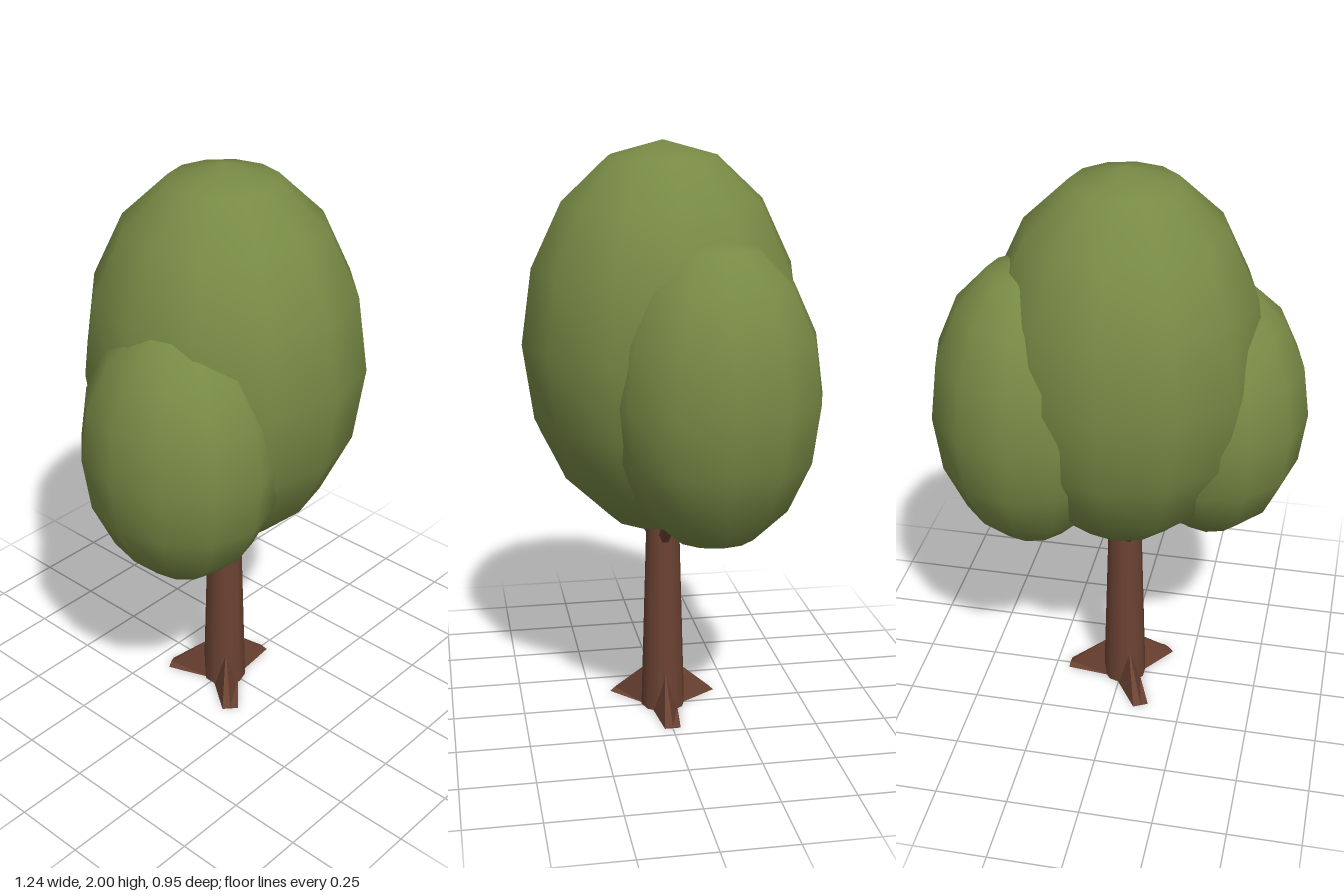
import * as THREE from 'three';

export function createModel() {
  const tree = new THREE.Group();
  tree.name = 'tree';
  const leaf = new THREE.MeshStandardMaterial({ color: 0x788a45 });
  leaf.name = 'leaf green';
  const bark = new THREE.MeshStandardMaterial({ color: 0x6b4232 });
  bark.name = 'bark brown';
  const cx = -0.01; // trunk axis

  const add = (name, geometry, material) => {
    const mesh = new THREE.Mesh(geometry, material);
    mesh.name = name;
    tree.add(mesh);
    return mesh;
  };

  // Foliage: three overlapping egg-shaped clumps [name, centre, radii]
  const clumps = [
    ['mainFoliage', [cx, 1.335, 0], [0.468, 0.665, 0.475]],
    ['leftFoliage', [0.285, 1.208, -0.122], [0.33, 0.515, 0.355]],
    ['rightFoliage', [-0.305, 1.14, 0.08], [0.315, 0.465, 0.345]],
  ];
  for (const [name, centre, radii] of clumps) {
    const geometry = new THREE.SphereGeometry(1, 12, 8);
    geometry.scale(...radii);
    add(name, geometry, leaf).position.set(...centre);
  }

  // Tapered trunk, running up into the foliage
  const trunk = add('trunk', new THREE.CylinderGeometry(0.055, 0.078, 0.8, 10), bark);
  trunk.position.set(cx, 0.4, 0);

  // Root: triangular section by the trunk, shrinking to a low narrow tip
  function rootGeometry() {
    const section = (x, halfWidth, height) => [x, 0, halfWidth, x, height, 0, x, 0, -halfWidth];
    const geometry = new THREE.BufferGeometry();
    const corners = [...section(0.05, 0.045, 0.15), ...section(0.21, 0.028, 0.006)];
    geometry.setAttribute('position', new THREE.Float32BufferAttribute(corners, 3));
    const index = [3, 5, 4, 0, 1, 2]; // tip and inner end
    for (let i = 0; i < 3; i++) {
      const j = (i + 1) % 3;
      index.push(i, i + 3, j, j, i + 3, j + 3);
    }
    geometry.setIndex(index);
    const flat = geometry.toNonIndexed();
    flat.computeVertexNormals();
    return flat;
  }

  // Three roots, with a short branch above each
  [0, 132, 243].forEach((degrees, i) => {
    const angle = THREE.MathUtils.degToRad(degrees);
    const root = add('root' + (i + 1), rootGeometry(), bark);
    root.position.x = cx;
    root.rotation.y = -angle;

    const out = (r, y) => new THREE.Vector3(cx + r * Math.cos(angle), y, r * Math.sin(angle));
    const path = new THREE.LineCurve3(out(0.03, 0.63), out(0.17, 0.79));
    add('branch' + (i + 1), new THREE.TubeGeometry(path, 1, 0.022, 6), bark);
  });

  return tree;
}
